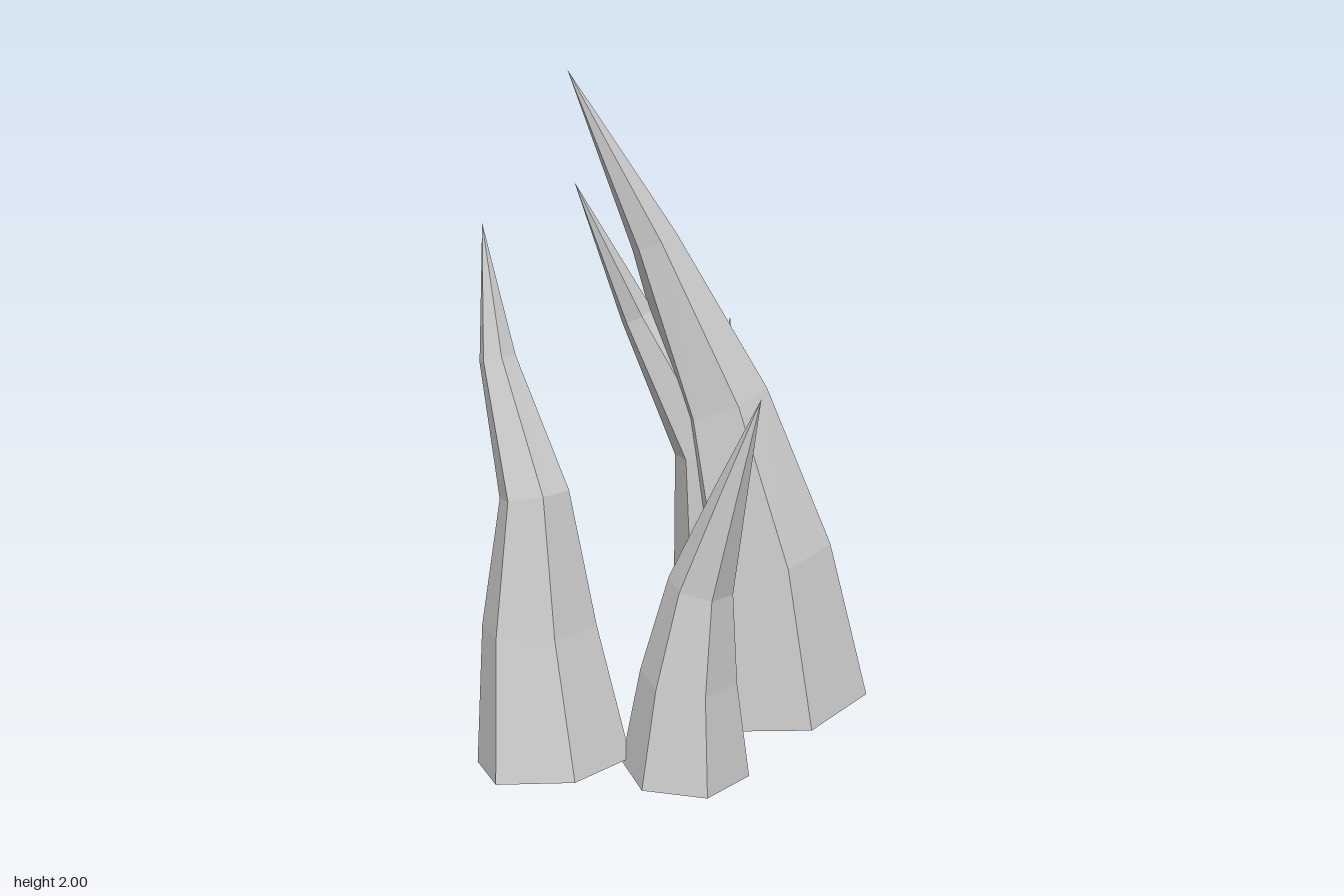
import * as THREE from 'three';

const SIDES = 6;
const ROWS = 4;

// Each spike: rings of its bent centre line from base to tip, as x, y, z, radius
const SPIKES = {
  mainSpike: [[0.1, 0.043, -0.362, 0.288], [0.065, 0.53, -0.325, 0.216], [-0.035, 1.01, -0.25, 0.144], [-0.185, 1.5, -0.11, 0.072], [-0.345, 2, 0.08, 0]],
  tallInnerSpike: [[-0.053, 0.04, -0.278, 0.21], [-0.035, 0.46, -0.262, 0.157], [-0.06, 0.87, -0.21, 0.105], [-0.24, 1.27, -0.095, 0.052], [-0.33, 1.68, 0.074, 0]],
  frontRightSpike: [[-0.125, 0.037, 0.412, 0.233], [-0.188, 0.44, 0.397, 0.172], [-0.208, 0.83, 0.385, 0.104], [-0.365, 1.2, 0.365, 0.055], [-0.445, 1.58, 0.335, 0]],
  frontLeftSpike: [[0.208, 0.04, 0.208, 0.188], [0.218, 0.33, 0.205, 0.141], [0.25, 0.61, 0.19, 0.094], [0.345, 0.9, 0.178, 0.047], [0.44, 1.18, 0.168, 0]],
  backSpike: [[-0.105, 0.045, -0.33, 0.185], [-0.107, 0.33, -0.322, 0.139], [-0.17, 0.61, -0.418, 0.093], [-0.193, 0.9, -0.45, 0.046], [-0.268, 1.185, -0.573, 0]],
};

// Open cone whose rings follow the path and tilt square to it
function spikeGeometry(rings) {
  const points = rings.map(([x, y, z]) => new THREE.Vector3(x, y, z));
  const cone = new THREE.CylinderGeometry(0, 1, 1, SIDES, ROWS, true);
  const pos = cone.attributes.position;
  const up = new THREE.Vector3(0, 1, 0);
  const tilt = new THREE.Quaternion();
  const v = new THREE.Vector3();
  for (let i = 0; i < pos.count; i++) {
    const row = ROWS - Math.floor(i / (SIDES + 1));
    const before = points[Math.max(row - 1, 0)];
    const after = points[Math.min(row + 1, ROWS)];
    tilt.setFromUnitVectors(up, after.clone().sub(before).normalize());
    v.set(pos.getX(i), 0, pos.getZ(i)).setLength(rings[row][3]).applyQuaternion(tilt).add(points[row]);
    pos.setXYZ(i, v.x, v.y, v.z);
  }
  const flat = cone.toNonIndexed();
  flat.computeVertexNormals();
  return flat;
}

export function createModel() {
  const group = new THREE.Group();
  group.name = 'spikeCluster';
  const stone = new THREE.MeshStandardMaterial({ color: 0xcccccc, flatShading: true, side: THREE.DoubleSide });
  stone.name = 'stone grey';
  for (const [name, rings] of Object.entries(SPIKES)) {
    const mesh = new THREE.Mesh(spikeGeometry(rings), stone);
    mesh.name = name;
    group.add(mesh);
  }
  return group;
}
